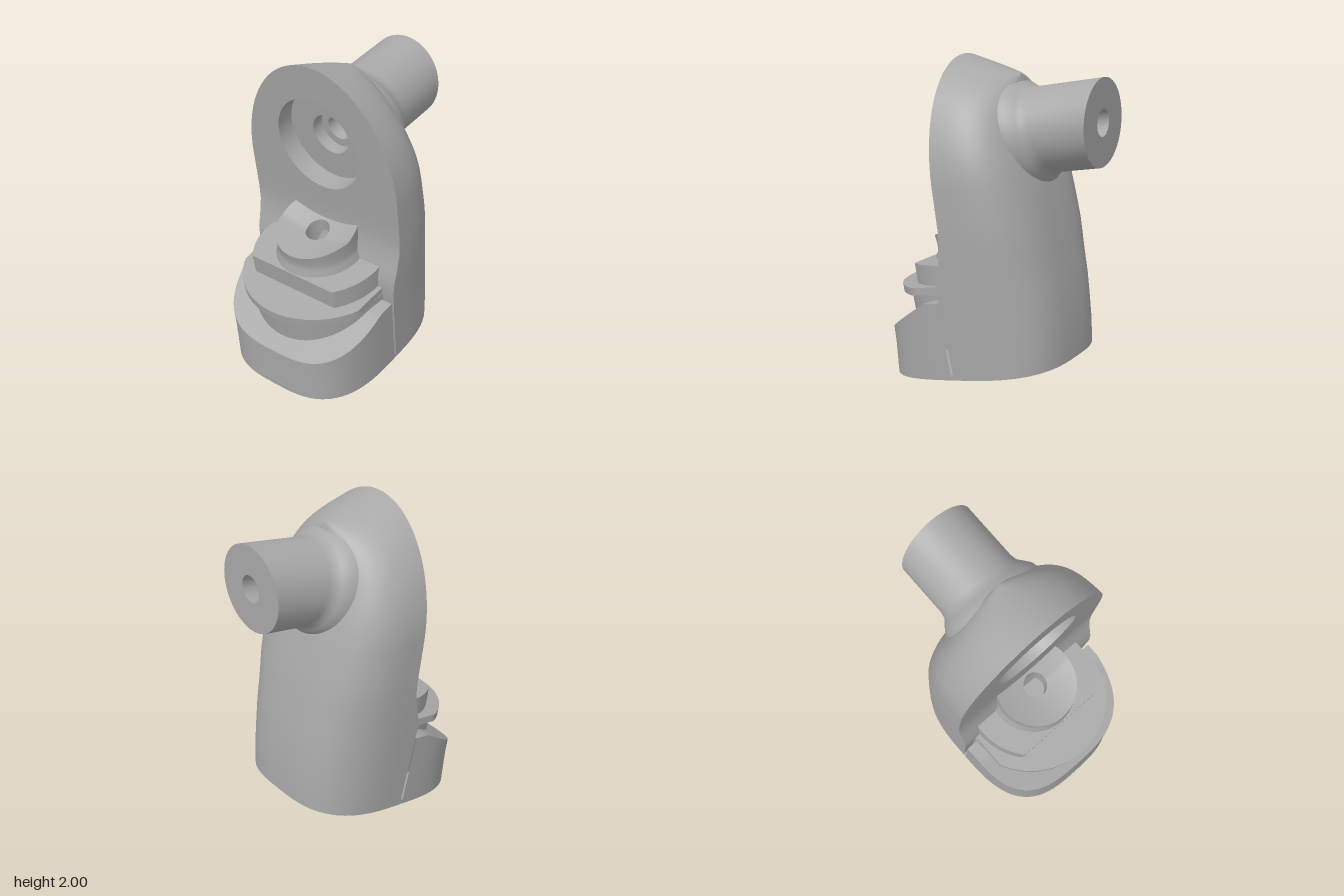
import * as THREE from 'three';
import { toCreasedNormals } from 'three/addons/utils/BufferGeometryUtils.js';

const grey = new THREE.MeshStandardMaterial({ color: 0xa8a8a8, side: THREE.DoubleSide });
grey.name = 'grey';
const TILT = Math.PI / 18;
const AXIS_Y = 1.39; // height of the peg axis

// Linear interpolation through [key, value] pairs
function lerpTable(table, t) {
  if (t <= table[0][0]) return table[0][1];
  for (let i = 1; i < table.length; i++) {
    const [a, va] = table[i - 1], [b, vb] = table[i];
    if (t <= b) return va + (vb - va) * (t - a) / (b - a);
  }
  return table[table.length - 1][1];
}

// Surface through rows of points
function gridGeometry(rows) {
  const n = rows[0].length, index = [];
  for (let i = 0; i < rows.length - 1; i++)
    for (let j = 0; j < n - 1; j++) {
      const a = i * n + j, b = a + n;
      index.push(a, b, a + 1, b, b + 1, a + 1);
    }
  const g = new THREE.BufferGeometry();
  g.setAttribute('position', new THREE.Float32BufferAttribute(rows.flat(2), 3));
  g.setIndex(index);
  return toCreasedNormals(g, 0.6);
}

// Move every vertex by a rule
function warp(g, rule) {
  const p = g.attributes.position, v = new THREE.Vector3();
  for (let i = 0; i < p.count; i++) {
    rule(v.fromBufferAttribute(p, i));
    p.setXYZ(i, v.x, v.y, v.z);
  }
  return g;
}

// Half of a rounded square: [depth 0..1, side -1..1]
const halfOutline = Array.from({ length: 41 }, (_, j) => {
  const a = -Math.PI / 2 + Math.PI * j / 40, s = Math.sin(a);
  return [Math.pow(Math.max(0, Math.cos(a)), 2 / 3), Math.sign(s) * Math.pow(Math.abs(s), 2 / 3)];
});

const backX = y => lerpTable([[0, 0.008], [0.55, 0.008], [0.62, 0.02], [0.7, 0.052], [0.8, 0.085], [0.9, 0.097], [1.903, 0.123]], y);
const bulgeX = y => lerpTable([[0, 0.584], [0.18, 0.608], [0.47, 0.62], [0.8, 0.611], [1.1, 0.588], [1.3, 0.565], [1.5, 0.535], [1.7, 0.51], [1.903, 0.489]], y);
const halfWidth = y => y < 1.15
  ? lerpTable([[0, 0.505], [0.3, 0.52], [0.6, 0.54], [0.9, 0.55]], y)
  : 0.55 * Math.sqrt(Math.max(0, 1 - ((y - 1.15) / 0.753) ** 2));

// Disc in plan, clipped by straight edges, extruded upward
function clippedDisc(r, minX, maxZ, y0, y1) {
  const pts = [];
  for (let i = 0; i < 96; i++) {
    const a = i / 96 * Math.PI * 2;
    pts.push(new THREE.Vector2(
      Math.max(minX, r * Math.cos(a)),
      THREE.MathUtils.clamp(r * Math.sin(a), -maxZ, maxZ)));
  }
  const g = new THREE.ExtrudeGeometry(new THREE.Shape(pts), { depth: y1 - y0, bevelEnabled: false });
  g.rotateX(Math.PI / 2).translate(0, y1, 0);
  return toCreasedNormals(g, 0.5);
}

const lathe = (pts, seg = 64) => new THREE.LatheGeometry(pts.map(p => new THREE.Vector2(p[0], p[1])), seg);

export function createModel() {
  const body = new THREE.Group();
  body.name = 'tiltedBody';
  const add = (name, geometry) => {
    const m = new THREE.Mesh(geometry, grey);
    m.name = name;
    body.add(m);
  };

  // Post shell: D-shaped sections, sheared toward the sloping top
  const levels = [0, 0.15, 0.3, 0.45, 0.55, 0.62, 0.7, 0.8, 0.9, 1.0, 1.1];
  for (let i = 0; i <= 20; i++) levels.push(1.15 + 0.753 * Math.sin(i / 20 * Math.PI / 2));
  add('postShell', gridGeometry(levels.map(y => {
    const xl = backX(y), xr = bulgeX(y), w = halfWidth(y);
    const k = 0.466 * THREE.MathUtils.clamp((y - 1) / 0.9, 0, 1);
    return halfOutline.map(([d, s]) => [xl + (xr - xl) * d, y - k * (xr - xl) * d, w * s]);
  })));

  // Back face of the post: plain strip below, arched plate with a round opening above
  add('postLowerFace', gridGeometry(levels.filter(y => y <= 1).map(y =>
    [[backX(y), y, halfWidth(y)], [backX(y), y, -halfWidth(y)]])));
  const upper = levels.filter(y => y >= 1);
  const arch = new THREE.Shape([
    ...upper.map(y => new THREE.Vector2(halfWidth(y), y)),
    ...upper.slice(0, -1).reverse().map(y => new THREE.Vector2(-halfWidth(y), y))]);
  const opening = new THREE.Path();
  opening.absarc(0, AXIS_Y, 0.3, 0, Math.PI * 2, true);
  arch.holes.push(opening);
  const face = warp(new THREE.ShapeGeometry(arch, 32), v => v.set(backX(v.y), v.y, v.x));
  face.computeVertexNormals();
  add('postUpperFace', face);

  // Peg with root fillet, through hole, counterbore and recess in one turned profile
  const peg = lathe([[0.335, 0.45], [0.32, 0.52], [0.285, 0.565], [0.265, 0.59], [0.257, 0.63],
    [0.257, 0.971], [0.08, 0.971], [0.08, 0.31], [0.13, 0.31], [0.13, 0.23], [0.3, 0.23], [0.3, 0.1]]);
  peg.rotateZ(-Math.PI / 2);
  warp(peg, v => {
    if (v.x > 0.9) v.x += v.y * Math.tan(TILT);
    else if (v.x > 0.4) v.x -= v.y * 0.17;
    else if (v.x < 0.15) v.x = backX(v.y + AXIS_Y);
    v.y += AXIS_Y;
  });
  add('pegAndRecess', toCreasedNormals(peg, 0.6));

  // Skirt: rounded wall with a sloping top
  const skirtTop = x => Math.min(0.48, 0.264 + (x + 0.547) * 0.486);
  const skirtRows = [];
  const skirtPoint = ([d, s], f, v) => {
    const topY = skirtTop(-0.547 * d * f), y = topY * v;
    return [-0.008 - 0.576 * d * f * (1 - 0.24 * Math.min(y, 0.264)), y, -0.505 * s * f * (1 + 0.1 * y)];
  };
  for (const v of [0, 0.33, 0.67, 1]) skirtRows.push(halfOutline.map(p => skirtPoint(p, 1, v)));
  for (const f of [0.9, 0.8, 0.65, 0.4, 0]) skirtRows.push(halfOutline.map(p => skirtPoint(p, f, 1)));
  add('skirt', gridGeometry(skirtRows));

  // Turret on the skirt
  add('turretDrum', new THREE.CylinderGeometry(0.455, 0.445, 0.35, 64).translate(0, 0.345, 0));
  add('turretFlange', clippedDisc(0.503, -1, 0.45, 0.512, 0.56));
  add('turretPlate', clippedDisc(0.42, -0.28, 1, 0.55, 0.685));

  // Knob with a dished top and a bore
  const knob = lathe([[0.275, 0.6], [0.272, 0.69], [0.255, 0.72], [0.252, 0.76], [0.26, 0.8],
    [0.2, 0.8], [0.14, 0.8], [0.075, 0.8], [0.075, 0.6], [0, 0.6]]);
  warp(knob, v => {
    if (v.y > 0.79) v.y += 0.01 + 0.045 * (v.z / 0.26) ** 2 + 0.4 * Math.max(0, v.x + 0.02);
  });
  add('knob', toCreasedNormals(knob, 0.6));

  // Underside plate with a centre hole and two arc slots
  const outline = [
    ...halfOutline.map(([d, s]) => new THREE.Vector2(0.582 * d, 0.503 * s)),
    ...halfOutline.slice(1, -1).map(([d, s]) => new THREE.Vector2(-0.582 * d, -0.503 * s))];
  const under = new THREE.Shape(outline);
  const hole = new THREE.Path();
  hole.absarc(0, 0, 0.12, 0, Math.PI * 2, true);
  under.holes.push(hole);
  for (const mid of [0, Math.PI]) {
    const slot = new THREE.Path();
    slot.absarc(0, 0, 0.28, mid - 0.95, mid + 0.95, false);
    slot.absarc(0, 0, 0.26, mid + 0.95, mid - 0.95, true);
    slot.closePath();
    under.holes.push(slot);
  }
  const plate = new THREE.ExtrudeGeometry(under, { depth: 0.03, bevelEnabled: false, curveSegments: 24 });
  plate.rotateX(Math.PI / 2).translate(0, 0.03, 0);
  add('undersidePlate', toCreasedNormals(plate, 0.5));
  add('undersideBacking', new THREE.RingGeometry(0.12, 0.4, 48).rotateX(Math.PI / 2).translate(0, 0.031, 0));
  add('undersideBore', toCreasedNormals(lathe([[0.12, 0.03], [0.12, 0.13], [0.05, 0.13], [0.05, 0.2], [0, 0.2]], 40), 0.6));

  // Lean the whole body
  body.rotation.z = TILT;
  body.position.set(-0.07, 0.105, 0);
  const model = new THREE.Group();
  model.name = 'pegBracket';
  model.add(body);
  return model;
}
